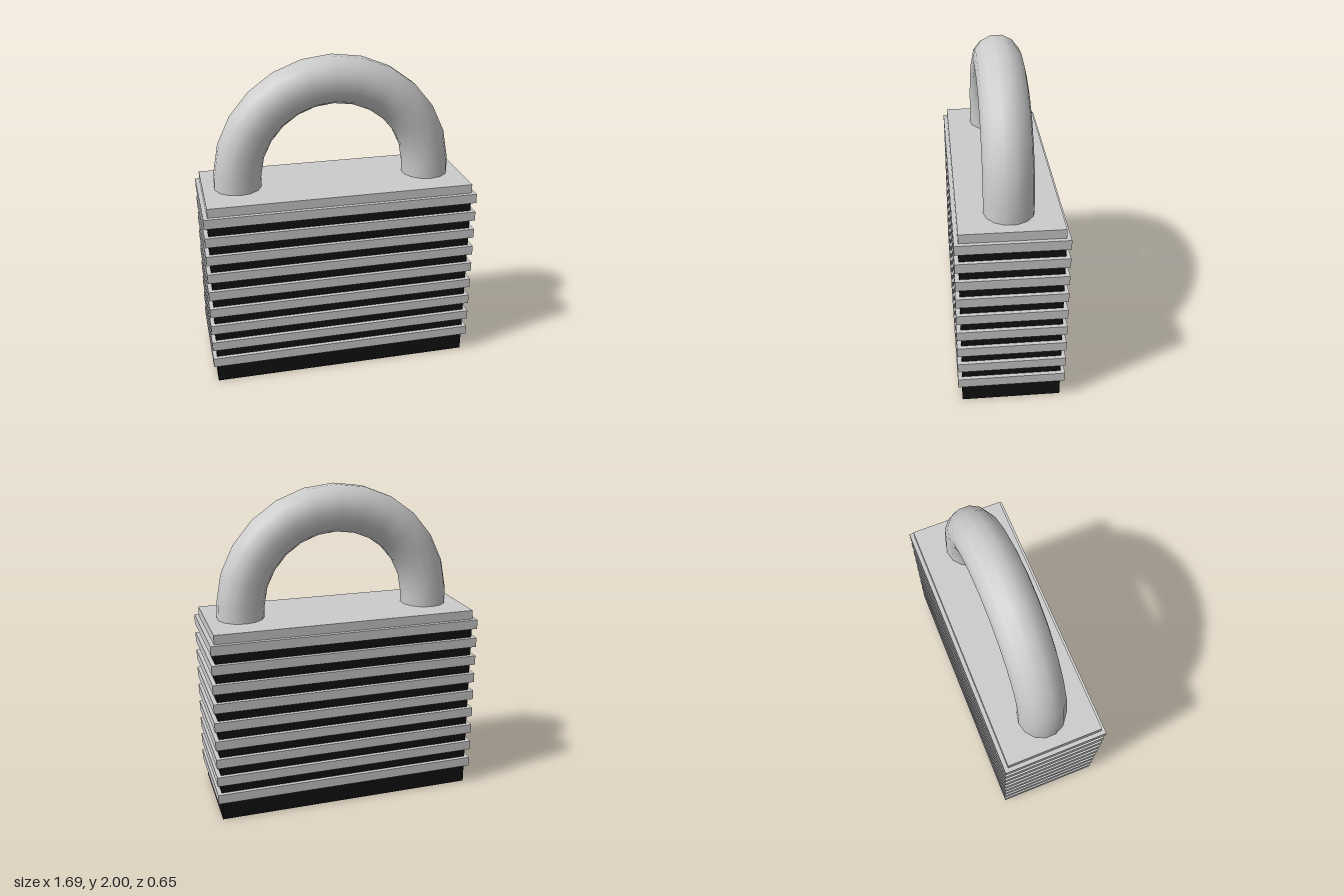
import * as THREE from 'three';

const grey = new THREE.MeshStandardMaterial({ color: 0xcccccc });
const dark = new THREE.MeshStandardMaterial({ color: 0x111111 });

function add(group, name, geometry, material, y = 0) {
  const mesh = new THREE.Mesh(geometry, material);
  mesh.name = name;
  mesh.position.y = y;
  group.add(mesh);
}

// Flat slab in the xz plane, rising from y = 0
function slab(shape, depth) {
  return new THREE.ExtrudeGeometry(shape, { depth, bevelEnabled: false, curveSegments: 10 }).rotateX(-Math.PI / 2);
}

function circlePath(PathClass, r) {
  return new PathClass().absarc(0, 0, r, 0, Math.PI * 2);
}

export function createModel() {
  const lock = new THREE.Group();
  lock.name = 'padlock';
  const W = 1.64, D = 0.6;

  // Base with a round recess underneath
  const outline = new THREE.Shape([
    new THREE.Vector2(-W / 2, -D / 2), new THREE.Vector2(W / 2, -D / 2),
    new THREE.Vector2(W / 2, D / 2), new THREE.Vector2(-W / 2, D / 2),
  ]);
  outline.holes.push(circlePath(THREE.Path, 0.23));
  add(lock, 'base', slab(outline, 0.06), [grey, dark]);

  // Lock cylinder face with a zigzag keyway
  const face = circlePath(THREE.Shape, 0.21);
  face.holes.push(new THREE.Path([
    [-0.14, 0.02], [-0.04, 0.03], [-0.01, 0.0], [0.14, 0.0],
    [0.14, -0.025], [-0.02, -0.03], [-0.05, 0.0], [-0.14, -0.01],
  ].map(([x, y]) => new THREE.Vector2(x, y))));
  add(lock, 'lockCylinder', slab(face, 0.05), grey, 0.01);

  // Dark core seen between the plates
  add(lock, 'core', new THREE.BoxGeometry(W, 1.06, D), dark, 0.59);

  // Stacked plates
  for (let i = 0; i < 9; i++) {
    add(lock, 'plate' + (i + 1), new THREE.BoxGeometry(1.69, 0.06, 0.65), grey, 0.155 + i * 0.121);
  }

  // Lid
  add(lock, 'lid', new THREE.BoxGeometry(W, 0.09, D), grey, 1.165);

  // Shackle: short legs joined by a half circle
  const R = 0.605, springY = 1.25;
  const points = [new THREE.Vector3(-R, 1.14, 0)];
  for (let i = 0; i <= 10; i++) {
    const a = Math.PI * (1 - i / 10);
    points.push(new THREE.Vector3(R * Math.cos(a), springY + R * Math.sin(a), 0));
  }
  points.push(new THREE.Vector3(R, 1.14, 0));
  add(lock, 'shackle', new THREE.TubeGeometry(new THREE.CatmullRomCurve3(points), 14, 0.147, 14), grey);

  return lock;
}
